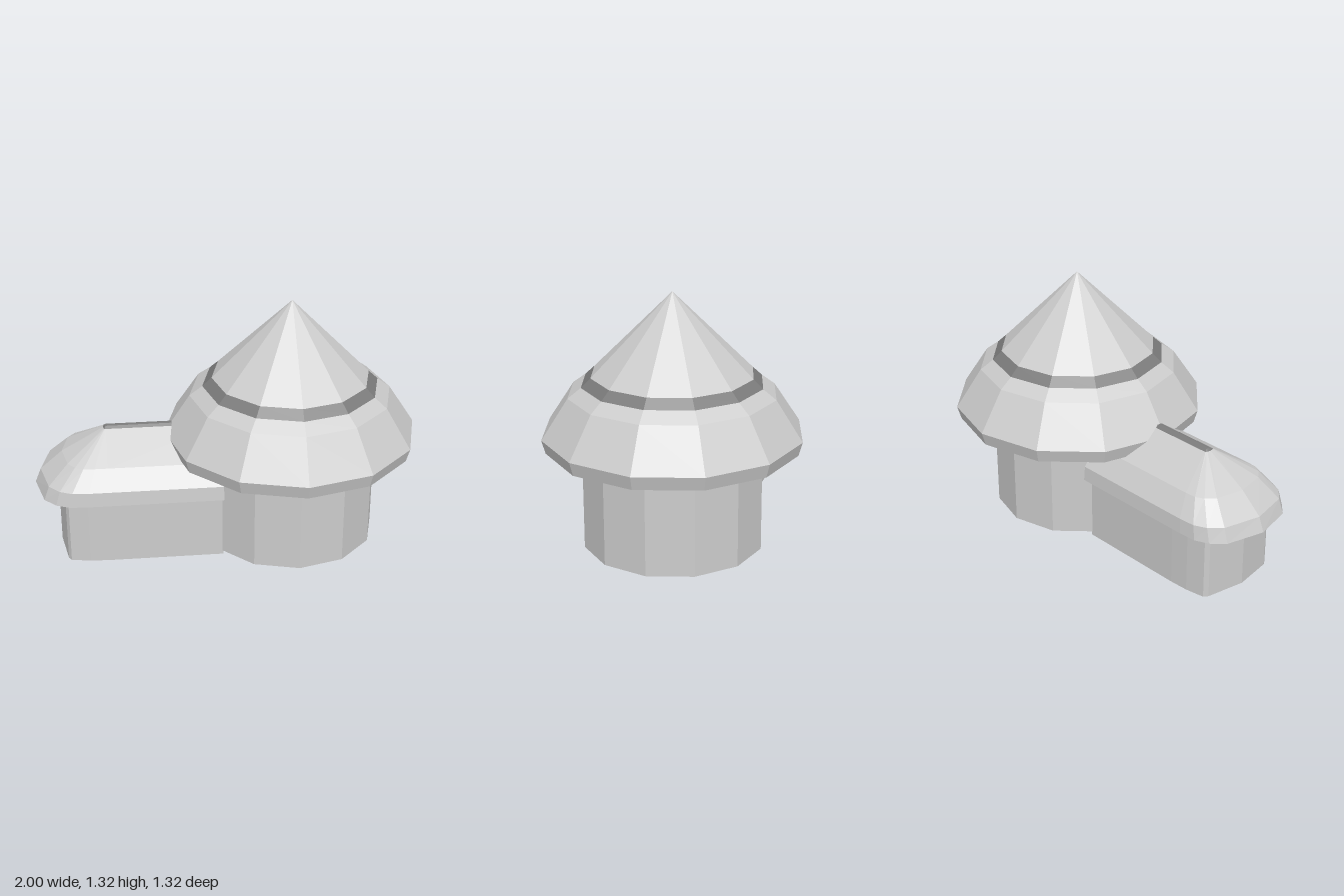
import * as THREE from 'three';

const SIDES = 12;
const TOWER_X = 0.34;
const END_X = -0.035; // where the annex runs into the tower

// Open shell through rings of equal length, listed from bottom to top
function loft(rings) {
  const pos = [];
  for (let r = 0; r < rings.length - 1; r++) {
    const a = rings[r], b = rings[r + 1];
    for (let i = 0; i < a.length - 1; i++) {
      pos.push(...a[i + 1], ...a[i], ...b[i], ...a[i + 1], ...b[i], ...b[i + 1]);
    }
  }
  const g = new THREE.BufferGeometry();
  g.setAttribute('position', new THREE.Float32BufferAttribute(pos, 3));
  g.computeVertexNormals();
  return g;
}

// U-shaped ring: straight sides from END_X, rounded end toward -x
function uRing(plan, cx, ex, ez, y) {
  const half = plan.map(([u, v]) => [cx - u * ex, y, v * ez]);
  const front = [[END_X, y, ez], ...half];
  const back = front.slice(0, -1).reverse().map(([x, h, z]) => [x, h, -z]);
  return [...front, ...back];
}

export function createModel() {
  const group = new THREE.Group();
  const light = new THREE.MeshStandardMaterial({ color: 0xcccccc, flatShading: true, side: THREE.DoubleSide });
  light.name = 'light grey';
  const dark = new THREE.MeshStandardMaterial({ color: 0x7c7c7c, flatShading: true, side: THREE.DoubleSide });
  dark.name = 'dark grey';

  const add = (name, geometry, material) => {
    const mesh = new THREE.Mesh(geometry, material);
    mesh.name = name;
    group.add(mesh);
    return mesh;
  };
  const lathe = (name, profile, material) => {
    const points = profile.map(([r, y]) => new THREE.Vector2(r, y));
    add(name, new THREE.LatheGeometry(points, SIDES), material).position.x = TOWER_X;
  };

  // Round tower: open wall, stepped eave, dark band and pointed cap
  lathe('towerWall', [[0.46, 0.02], [0.46, 0.86]], light);
  lathe('towerEave', [[0.64, 0.54], [0.66, 0.61], [0.525, 0.815], [0.458, 0.865]], light);
  lathe('towerBand', [[0.458, 0.865], [0.41, 0.91]], dark);
  lathe('towerCap', [[0.41, 0.91], [0, 1.32]], light);

  // Annex wall with a blunt rounded end
  const wallPlan = [[0, 1], [0.4, 0.98], [0.8, 0.91], [0.86, 0.82], [1, 0]];
  add('annexWall', loft([0, 0.4].map((y) => uRing(wallPlan, -0.63, 0.25, 0.25, y))), light);

  // Annex roof with a curved end and a dark ridge
  const roofPlan = [[0, 1], [0.29, 1], [0.53, 0.98], [0.71, 0.88], [0.87, 0.67], [1, 0]];
  const roofRing = ([ex, ez, y]) => uRing(roofPlan, -0.62, ex, ez, y);
  const ridgeBase = [0.015, 0.027, 0.657];
  add('annexRoof', loft([
    [0.38, 0.3, 0.355], [0.35, 0.293, 0.43], [0.235, 0.22, 0.53], ridgeBase,
  ].map(roofRing)), light);
  add('annexRidge', loft([ridgeBase, [0.004, 0.012, 0.668], [0, 0, 0.669]].map(roofRing)), dark);

  return group;
}
